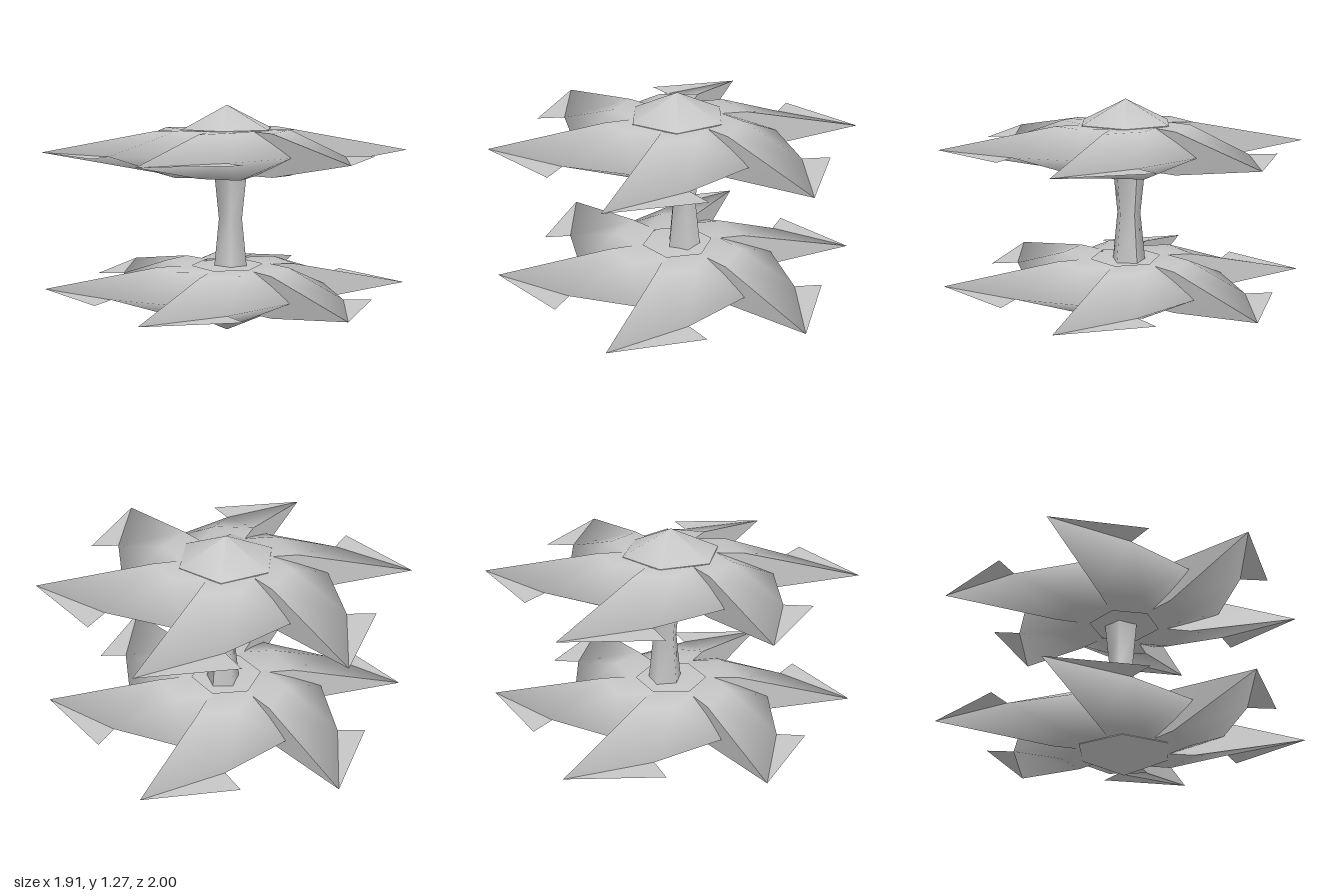
import * as THREE from 'three';

const steel = new THREE.MeshStandardMaterial({ color: 0xc6c6c6, side: THREE.DoubleSide });
steel.name = 'grey steel';

function geometryFrom(points, faces) {
  const g = new THREE.BufferGeometry();
  g.setAttribute('position', new THREE.Float32BufferAttribute(points.flat(), 3));
  g.setIndex(faces.flat());
  g.computeVertexNormals();
  return g;
}

function addMesh(parent, geometry, name) {
  const mesh = new THREE.Mesh(geometry, steel);
  mesh.name = name;
  parent.add(mesh);
  return mesh;
}

// Blade body: thin along the tip, notch and corner, thick at the root, pointing to +z
const tip = [0.18, 0, 1.0], notch = [0.41, 0, 0.58], barbEnd = [0.55, 0, 0.64], corner = [0.525, 0, 0.18];
const raised = [[0.085, 0.115, 0.38], [0.26, 0.125, 0.25], [0.22, 0.12, 0.03], [0.035, 0.12, 0.2]];
const lowered = raised.map(([x, y, z]) => [x, -y, z]);

// Indices: 0 tip, 1 notch, 2 corner, 3-6 raised ridge, crest, inner, root, 7-10 the same below
const topFaces = [[0, 1, 3], [1, 4, 3], [1, 2, 4], [2, 5, 4], [4, 5, 6], [4, 6, 3]];
const flip = (i) => (i > 2 ? i + 4 : i);
const bottomFaces = topFaces.map(([a, b, c]) => [flip(a), flip(c), flip(b)]);
const bodyGeometry = geometryFrom([tip, notch, corner, ...raised, ...lowered], [...topFaces, ...bottomFaces]);

// Straight trailing wall, kept apart so its edges stay sharp
const wallGeometry = geometryFrom(
  [tip, raised[0], lowered[0], raised[3], lowered[3]],
  [[0, 1, 2], [1, 3, 4], [1, 4, 2]]
);
const innerGeometry = geometryFrom([corner, raised[2], lowered[2]], [[0, 2, 1]]);
const barbGeometry = geometryFrom([tip, barbEnd, notch], [[0, 1, 2]]);

function makeBlade() {
  const blade = new THREE.Group();
  blade.name = 'blade';
  addMesh(blade, bodyGeometry, 'bladeBody');
  addMesh(blade, wallGeometry, 'bladeWall');
  addMesh(blade, innerGeometry, 'bladeInnerEnd');
  addMesh(blade, barbGeometry, 'bladeBarb');
  return blade;
}

// Rotor: six blades around a six-sided hub with a pointed cap
function makeRotor(name) {
  const rotor = new THREE.Group();
  rotor.name = name;
  for (let i = 0; i < 6; i++) {
    const blade = makeBlade();
    blade.rotation.y = (i * Math.PI) / 3;
    rotor.add(blade);
  }
  const hub = new THREE.Group();
  hub.name = 'hub';
  hub.rotation.y = Math.PI / 6;
  rotor.add(hub);
  addMesh(hub, new THREE.ConeGeometry(0.27, 0.13, 6, 1, true), 'hubCap').position.y = 0.19;
  addMesh(hub, new THREE.CylinderGeometry(0.27, 0.27, 0.23, 6, 1, true), 'hubSide').position.y = 0.01;
  addMesh(hub, new THREE.ConeGeometry(0.27, 0.015, 6, 1, true).rotateX(Math.PI), 'hubBase').position.y = -0.1125;
  return rotor;
}

export function createModel() {
  const model = new THREE.Group();
  model.name = 'doubleBladedRotor';

  const upper = makeRotor('upperRotor');
  upper.position.y = 1.015;
  model.add(upper);

  const lower = makeRotor('lowerRotor');
  lower.position.y = 0.255;
  // Turn the hub over so its cap points down
  lower.getObjectByName('hub').rotation.set(Math.PI, Math.PI / 6, 0);
  model.add(lower);

  // Waisted five-sided shaft
  const shaftGeometry = new THREE.CylinderGeometry(0.097, 0.097, 0.56, 5, 2, true);
  const p = shaftGeometry.attributes.position;
  for (let i = 0; i < p.count; i++) {
    if (Math.abs(p.getY(i)) < 0.01) p.setXYZ(i, p.getX(i) * 0.7, 0, p.getZ(i) * 0.7);
  }
  shaftGeometry.computeVertexNormals();
  const shaft = addMesh(model, shaftGeometry, 'shaft');
  shaft.rotation.y = Math.PI;
  shaft.position.set(0, 0.635, -0.033);

  return model;
}
